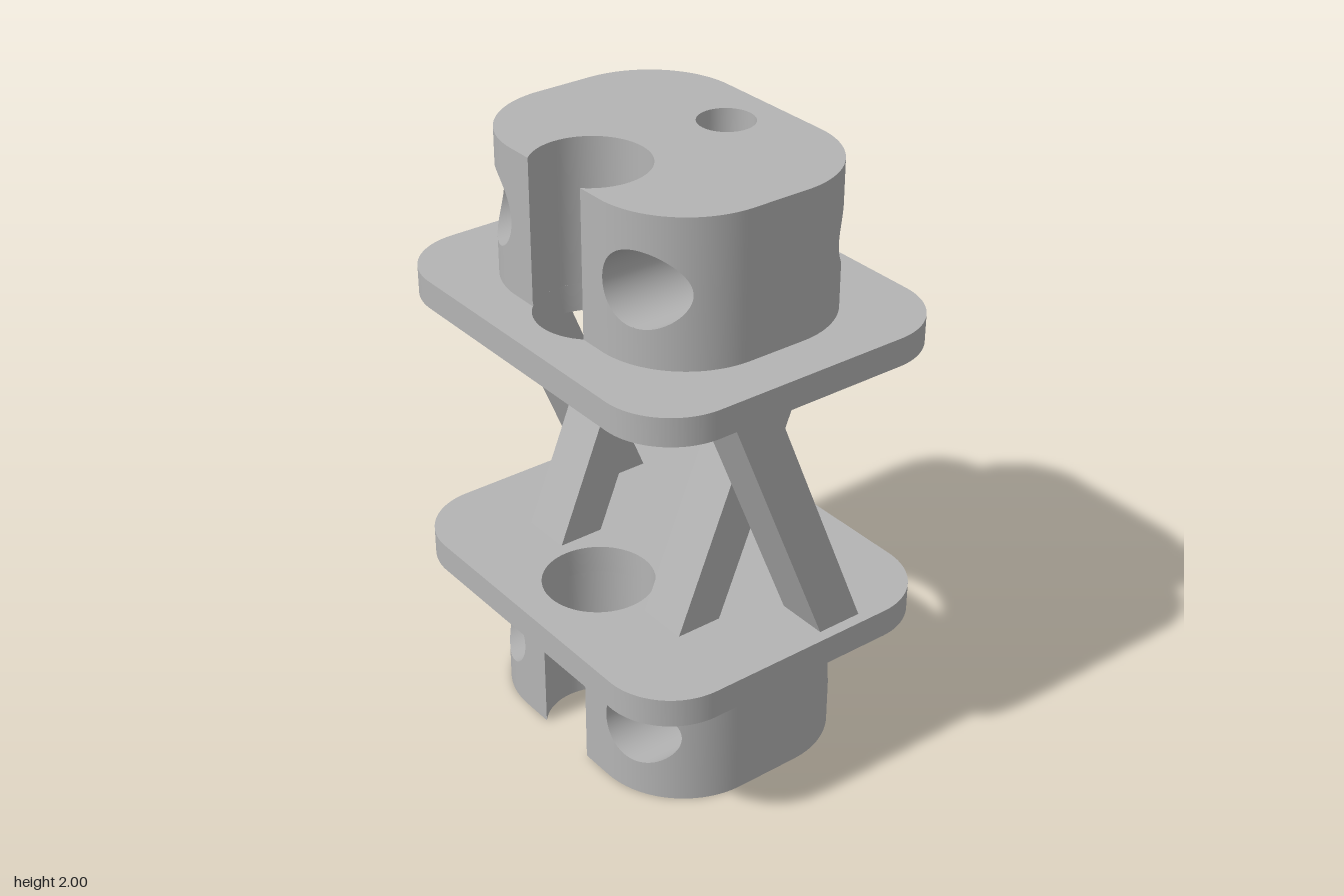
import * as THREE from 'three';
import { toCreasedNormals } from 'three/addons/utils/BufferGeometryUtils.js';

const BIG = { z: 0.27, r: 0.18 };        // large vertical bore, opens the front of the blocks
const SMALL = { z: -0.22, r: 0.09 };     // small vertical bore
const CROSS = { x: 0.345, r: 0.12 };     // bores running front to back
const CORNER = 0.3;                      // block corner radius
const V = (x, y, z) => new THREE.Vector3(x, y, z);

// Collects quads with given normals; the winding follows the normals.
class Quads {
  constructor() { this.pos = []; this.nor = []; }
  add(a, b, c, d, na, nb) {
    // a, d share normal na; b, c share normal nb
    const facing = c.clone().sub(a).cross(d.clone().sub(b)).dot(na.clone().add(nb));
    const p = [a, b, c, d], n = [na, nb, nb, na];
    const order = facing > 0 ? [0, 1, 2, 0, 2, 3] : [0, 2, 1, 0, 3, 2];
    for (const i of order) {
      this.pos.push(...p[i].toArray());
      this.nor.push(...n[i].toArray());
    }
  }
  geometry() {
    const g = new THREE.BufferGeometry();
    g.setAttribute('position', new THREE.Float32BufferAttribute(this.pos, 3));
    g.setAttribute('normal', new THREE.Float32BufferAttribute(this.nor, 3));
    return g;
  }
}

export function createModel() {
  const model = new THREE.Group();
  const grey = new THREE.MeshStandardMaterial({ color: 0xb4b4b4 });
  grey.name = 'grey';
  const add = (parent, name, geometry) => {
    const mesh = new THREE.Mesh(geometry, grey);
    mesh.name = name;
    parent.add(mesh);
    return mesh;
  };

  // Rounded block with bores: halfW, halfD in plan, y0..y1 in height
  function addBlock(name, halfW, halfD, y0, y1, holeY, capIsTop) {
    const group = new THREE.Group();
    group.name = name;
    model.add(group);
    const cx = halfW - CORNER, cz = halfD - CORNER;
    const depth = x => cz + Math.sqrt(Math.max(0, CORNER ** 2 - Math.max(0, x - cx) ** 2));
    const notch = Math.sqrt(BIG.r ** 2 - (halfD - BIG.z) ** 2);

    // x stations from the middle, across the bore, round the corner
    const stations = start => {
      const xs = [start];
      for (let i = 0; i <= 40; i++) xs.push(CROSS.x - CROSS.r * Math.cos(Math.PI * i / 40));
      const a0 = Math.asin((CROSS.x + CROSS.r - cx) / CORNER);
      for (let i = 1; i <= 12; i++) xs.push(cx + CORNER * Math.sin(a0 + (Math.PI / 2 - a0) * i / 12));
      return xs;
    };

    // Outer walls, leaving the bore openings free
    const walls = new Quads();
    for (const sx of [-1, 1]) {
      for (const sz of [-1, 1]) {
        const xs = stations(sz > 0 ? notch : 0);
        const normal = x => V(sx * Math.max(0, x - cx), 0, sz * (depth(x) - cz)).normalize();
        const point = (x, y) => V(sx * x, y, sz * depth(x));
        const gap = x => Math.sqrt(Math.max(0, CROSS.r ** 2 - (x - CROSS.x) ** 2));
        for (let i = 0; i < xs.length - 1; i++) {
          const a = xs[i], b = xs[i + 1];
          walls.add(point(a, y0), point(b, y0), point(b, holeY - gap(b)), point(a, holeY - gap(a)), normal(a), normal(b));
          walls.add(point(a, holeY + gap(a)), point(b, holeY + gap(b)), point(b, y1), point(a, y1), normal(a), normal(b));
        }
      }
      const n = V(sx, 0, 0), x = sx * halfW;
      walls.add(V(x, y0, -cz), V(x, y0, cz), V(x, y1, cz), V(x, y1, -cz), n, n);
    }
    add(group, name + 'Walls', walls.geometry());

    // Front to back bores, trimmed to the curved walls
    for (const sx of [-1, 1]) {
      const bore = new Quads();
      for (let i = 0; i < 64; i++) {
        const [p, q] = [i, i + 1].map(k => {
          const a = Math.PI * 2 * k / 64, x = CROSS.x + CROSS.r * Math.cos(a);
          return { x: sx * x, y: holeY + CROSS.r * Math.sin(a), d: depth(x), n: V(-sx * Math.cos(a), -Math.sin(a), 0) };
        });
        bore.add(V(p.x, p.y, -p.d), V(q.x, q.y, -q.d), V(q.x, q.y, q.d), V(p.x, p.y, p.d), p.n, q.n);
      }
      add(group, sx > 0 ? 'leftCrossBore' : 'rightCrossBore', bore.geometry());
    }

    // Vertical bores: open front channel and small round hole
    const open = Math.asin(notch / BIG.r);
    const arc = (hole, a0, i) => {
      const a = a0 + (Math.PI * 2 - 2 * a0) * i / 64;
      return { x: hole.r * Math.sin(a), z: hole.z + hole.r * Math.cos(a), n: V(-Math.sin(a), 0, -Math.cos(a)) };
    };
    for (const [part, hole, a0] of [['frontChannel', BIG, open], ['smallBore', SMALL, 0]]) {
      const bore = new Quads();
      for (let i = 0; i < 64; i++) {
        const p = arc(hole, a0, i), q = arc(hole, a0, i + 1);
        bore.add(V(p.x, y0, p.z), V(q.x, y0, q.z), V(q.x, y1, q.z), V(p.x, y1, p.z), p.n, q.n);
      }
      add(group, part, bore.geometry());
    }

    // End face
    const s = capIsTop ? -1 : 1;
    const front = stations(notch), back = stations(0).slice(1);
    const outline = [
      ...front.map(x => [x, depth(x)]),
      ...[...back].reverse().map(x => [x, -depth(x)]),
      ...back.map(x => [-x, -depth(x)]),
      ...[...front].reverse().map(x => [-x, depth(x)]),
    ];
    for (let i = 63; i > 0; i--) {
      const p = arc(BIG, open, i);
      outline.push([p.x, p.z]);
    }
    const shape = new THREE.Shape(outline.map(([x, z]) => new THREE.Vector2(x, s * z)));
    shape.holes.push(new THREE.Path().absarc(0, s * SMALL.z, SMALL.r, 0, Math.PI * 2, true));
    const cap = new THREE.ShapeGeometry(shape, 32);
    cap.rotateX(s * Math.PI / 2).translate(0, capIsTop ? y1 : y0, 0);
    add(group, name + 'EndFace', cap);
  }

  // Rounded plate with both vertical holes
  function addPlate(name, y, height) {
    const w = 0.675, d = 0.555, r = 0.225;
    const shape = new THREE.Shape();
    shape.absarc(w - r, d - r, r, 0, Math.PI / 2);
    shape.absarc(r - w, d - r, r, Math.PI / 2, Math.PI);
    shape.absarc(r - w, r - d, r, Math.PI, Math.PI * 1.5);
    shape.absarc(w - r, r - d, r, Math.PI * 1.5, Math.PI * 2);
    for (const h of [BIG, SMALL]) {
      shape.holes.push(new THREE.Path().absarc(0, -h.z, h.r, 0, Math.PI * 2, true));
    }
    const g = new THREE.ExtrudeGeometry(shape, { depth: height, bevelEnabled: false, curveSegments: 32 });
    g.rotateX(-Math.PI / 2).translate(0, y, 0);
    add(model, name, toCreasedNormals(g, 0.6));
  }

  addBlock('lowerBlock', 0.53, 0.41, 0, 0.475, 0.24, false);
  addPlate('lowerPlate', 0.475, 0.095);
  addPlate('upperPlate', 1.435, 0.092);
  addBlock('upperBlock', 0.515, 0.397, 1.527, 2, 1.765, true);

  // Slanted struts: boxes sheared along z, the inner and outer pairs crossing
  for (const side of [-1, 1]) {
    for (const [name, x, lean] of [['InnerStrut', 0.31, -1], ['OuterStrut', 0.552, 1]]) {
      const height = 0.865;
      const g = new THREE.BoxGeometry(0.172, height, 0.155);
      const p = g.attributes.position;
      for (let i = 0; i < p.count; i++) p.setZ(i, p.getZ(i) + lean * 0.178 * Math.sign(p.getY(i)));
      g.computeVertexNormals();
      add(model, (side > 0 ? 'left' : 'right') + name, g).position.set(side * x, 0.57 + height / 2, 0);
    }
  }
  return model;
}
